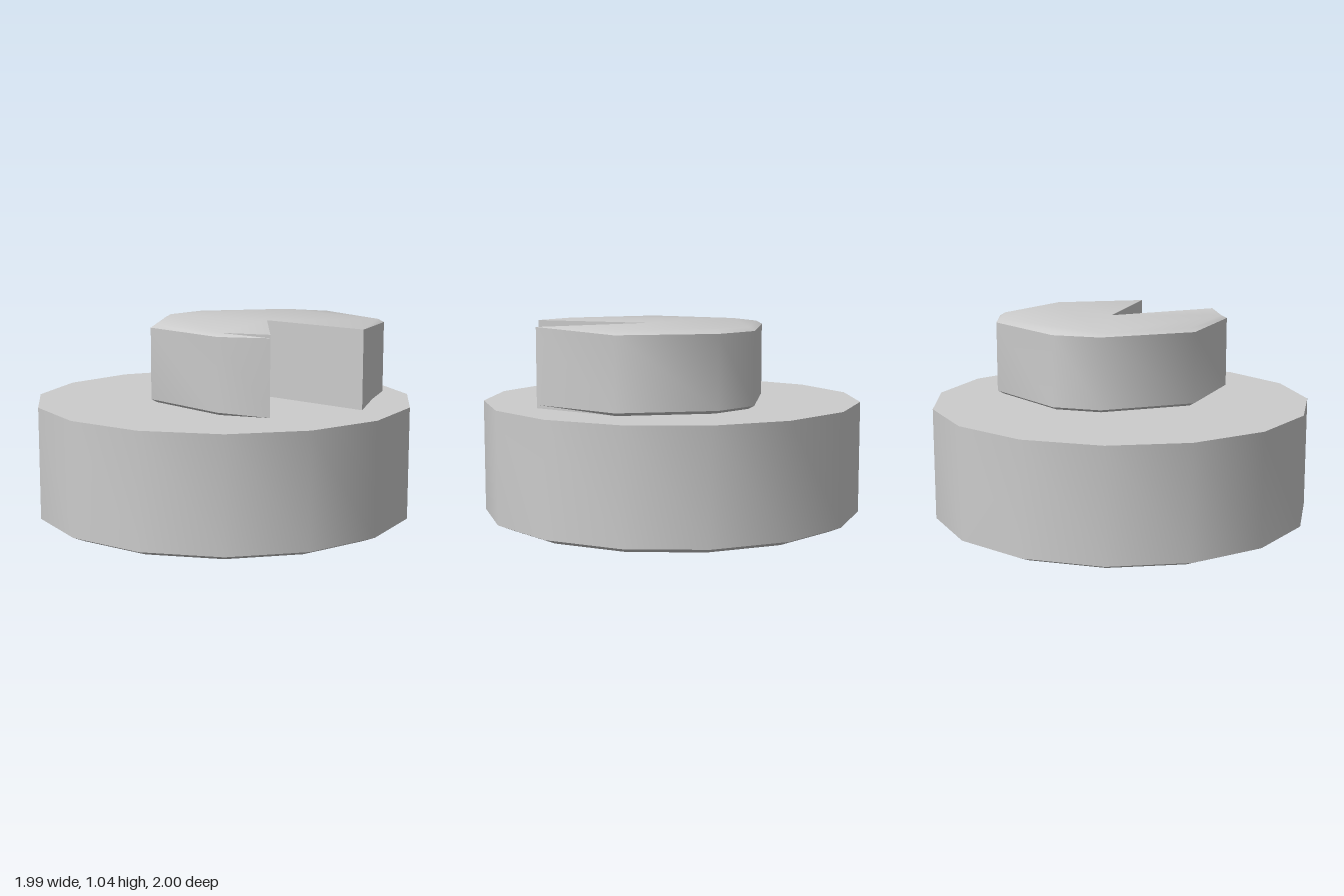
import * as THREE from 'three';
import { toCreasedNormals } from 'three/addons/utils/BufferGeometryUtils.js';

// Closed solid from stacked rings; every ring is { y, pts: [[x, z], ...] }
function loft(rings, crease) {
  const pos = [];
  const n = rings[0].pts.length;
  const put = (ring, i) => pos.push(ring.pts[i % n][0], ring.y, ring.pts[i % n][1]);
  // side bands
  for (let r = 0; r < rings.length - 1; r++) {
    const lo = rings[r], hi = rings[r + 1];
    for (let i = 0; i < n; i++) {
      put(lo, i); put(hi, i); put(hi, i + 1);
      put(lo, i); put(hi, i + 1); put(lo, i + 1);
    }
  }
  // end caps, turned to face down and up
  const cap = (ring, up) => {
    const v = ring.pts.map(([x, z]) => new THREE.Vector2(x, z));
    for (const [a, b, c] of THREE.ShapeUtils.triangulateShape(v, [])) {
      const facesDown = THREE.ShapeUtils.area([v[a], v[b], v[c]]) > 0;
      (facesDown === up ? [a, c, b] : [a, b, c]).forEach((i) => put(ring, i));
    }
  };
  cap(rings[0], false);
  cap(rings[rings.length - 1], true);
  const geo = new THREE.BufferGeometry();
  geo.setAttribute('position', new THREE.Float32BufferAttribute(pos, 3));
  return toCreasedNormals(geo, crease);
}

export function createModel() {
  const group = new THREE.Group();
  const material = new THREE.MeshStandardMaterial({ color: 0xcccccc });
  const add = (name, geometry) => {
    const mesh = new THREE.Mesh(geometry, material);
    mesh.name = name;
    group.add(mesh);
  };

  // Fifteen-sided base with a shallow chamfer underneath
  const circle = (radius) => Array.from({ length: 15 }, (_, i) => {
    const a = (i / 15) * Math.PI * 2;
    return [Math.cos(a) * radius - 0.01, Math.sin(a) * radius];
  });
  add('base', loft([
    { y: 0, pts: circle(0.935) },
    { y: 0.03, pts: circle(1.005) },
    { y: 0.62, pts: circle(1.005) },
  ], 0.8));

  // Notched upper disc, set off-centre just above the base
  const notch = [0.21, 0.075];
  const outline = [
    [0.41, -0.525], [0.635, -0.39], [0.84, 0.075], [0.63, 0.54], notch,
    [0.14, 0.70], [-0.11, 0.62], [-0.41, 0.20], [-0.30, -0.30], [-0.11, -0.47],
  ];
  // the chamfer fades out at the two notch tips (indices 3 and 5)
  const inset = outline.map(([x, z], i) => {
    const s = i === 3 || i === 5 ? 1 : 0.95;
    return [notch[0] + (x - notch[0]) * s, notch[1] + (z - notch[1]) * s];
  });
  add('notchedDisc', loft([
    { y: 0.635, pts: inset },
    { y: 0.652, pts: outline },
    { y: 1.025, pts: outline },
    { y: 1.042, pts: inset },
  ], 0.9));

  return group;
}
